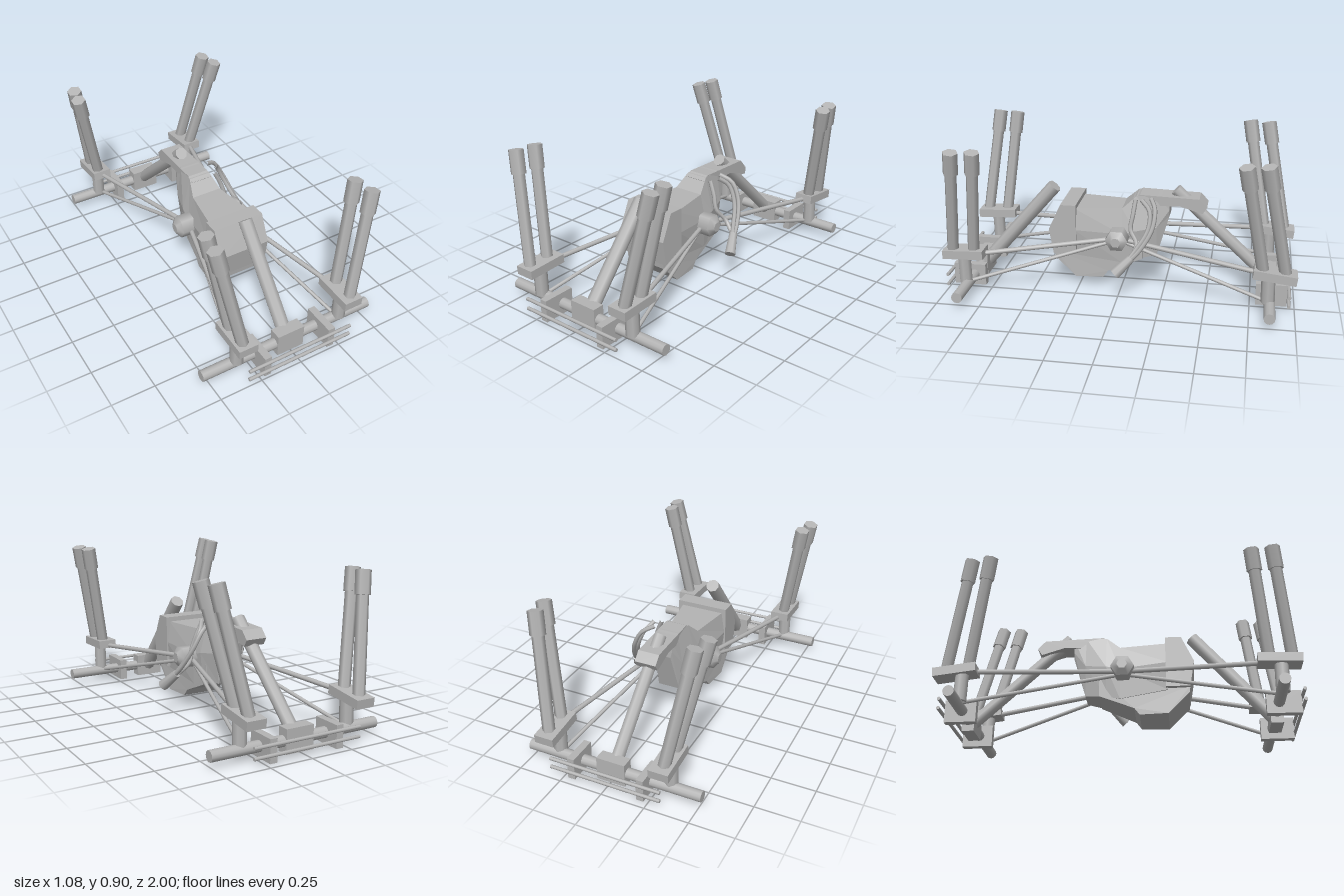
import * as THREE from 'three';

const V = (x, y, z) => new THREE.Vector3(x, y, z);

export function createModel() {
  const model = new THREE.Group();
  const grey = new THREE.MeshStandardMaterial({ color: 0xb4b4b4 });
  grey.name = 'grey';

  const add = (name, geometry) => {
    const mesh = new THREE.Mesh(geometry, grey);
    mesh.name = name;
    model.add(mesh);
    return mesh;
  };
  const box = (name, w, h, d, x, y, z, tilt = 0) => {
    const m = add(name, new THREE.BoxGeometry(w, h, d));
    m.position.set(x, y, z);
    m.rotation.x = tilt;
    return m;
  };
  // Cylinder running from a to b
  const rod = (name, a, b, r, sides = 8, r2 = r) => {
    const m = add(name, new THREE.CylinderGeometry(r2, r, a.distanceTo(b), sides));
    m.position.copy(a).lerp(b, 0.5);
    m.quaternion.setFromUnitVectors(V(0, 1, 0), b.clone().sub(a).normalize());
    return m;
  };
  // Side outline of [z, y] points extruded across x; width can taper with z
  const slab = (name, outline, half, taper = () => 1) => {
    const shape = new THREE.Shape(outline.map(([z, y]) => new THREE.Vector2(z, y)));
    const g = new THREE.ExtrudeGeometry(shape, { depth: half * 2, bevelEnabled: false });
    g.translate(0, 0, -half).rotateY(-Math.PI / 2);
    const p = g.attributes.position;
    for (let i = 0; i < p.count; i++) p.setX(i, p.getX(i) * taper(p.getZ(i)));
    g.computeVertexNormals();
    return add(name, g);
  };

  // Tapering body: [z, bottom y, bottom half, mid y, mid half, top y, top half]
  const stations = [
    [0.27, 0.2, 0.132, 0.36, 0.15, 0.485, 0.13],
    [0.0, 0.16, 0.115, 0.34, 0.122, 0.487, 0.09],
    [-0.08, 0.18, 0.1, 0.36, 0.115, 0.56, 0.066],
    [-0.2, 0.2, 0.065, 0.38, 0.085, 0.565, 0.058],
    [-0.27, 0.44, 0.045, 0.48, 0.055, 0.56, 0.05],
  ];
  const rings = stations.map(([z, by, bw, my, mw, ty, tw]) => [
    V(bw, by, z), V(mw, my, z), V(tw, ty, z), V(-tw, ty, z), V(-mw, my, z), V(-bw, by, z),
  ]);
  const tris = [];
  for (let s = 0; s < rings.length - 1; s++) {
    for (let j = 0; j < 6; j++) {
      const k = (j + 1) % 6;
      const [a, b, c, d] = [rings[s][j], rings[s][k], rings[s + 1][j], rings[s + 1][k]];
      tris.push(a, c, b, b, c, d);
    }
  }
  const last = rings[rings.length - 1];
  for (let j = 1; j < 5; j++) {
    tris.push(rings[0][0], rings[0][j], rings[0][j + 1]);
    tris.push(last[0], last[j + 1], last[j]);
  }
  const bodyGeometry = new THREE.BufferGeometry().setFromPoints(tris);
  bodyGeometry.computeVertexNormals();
  add('body', bodyGeometry);

  // Front block, belly and tail
  slab('frontBlock', [[0.26, 0.21], [0.395, 0.21], [0.42, 0.36], [0.35, 0.512], [0.26, 0.512]], 0.155);
  slab('belly', [[-0.12, 0.3], [-0.12, 0.185], [0.08, 0.1], [0.11, 0.06], [0.27, 0.06], [0.39, 0.18],
    [0.395, 0.22], [0.25, 0.3]], 0.132, (z) => 0.76 + 0.24 * Math.min(1, (z + 0.12) / 0.38));
  slab('tail', [[-0.08, 0.5], [-0.33, 0.51], [-0.46, 0.47], [-0.485, 0.51], [-0.44, 0.557],
    [-0.1, 0.567], [-0.06, 0.545]], 0.063);

  // Drive shafts leaning from the axles up to the body
  rod('frontShaft', V(0, 0.07, 0.85), V(0, 0.573, 0.415), 0.041);
  rod('rearShaft', V(0, 0.07, -0.86), V(0, 0.59, -0.3), 0.037);

  // Axle assemblies, front and rear
  const ends = [
    { name: 'front', z: 0.863, half: 0.54, plateZ: 0.89, plateD: 0.19, tieZ: 0.99, tieY: [0.104, 0.045],
      bracketZ: 0.87, bracketY: 0.262, tilt: 0.04,
      shocks: [[0.94, 0.866, 0.462], [0.818, 0.752, 0.445]] },
    { name: 'rear', z: -0.86, half: 0.513, plateZ: -0.87, plateD: 0.175, tieZ: -0.966, tieY: [0.107, 0.053],
      bracketZ: -0.88, bracketY: 0.25, tilt: -0.12,
      shocks: [[-0.815, -0.7, 0.465], [-0.935, -0.81, 0.443]] },
  ];
  for (const e of ends) {
    rod(e.name + 'Axle', V(-e.half, 0.07, e.z), V(e.half, 0.07, e.z), 0.031, 12);
    box(e.name + 'Differential', 0.167, 0.135, 0.07, 0, 0.073, e.z);
    for (const y of e.tieY) rod(e.name + 'TieRod', V(-0.325, y, e.tieZ), V(0.325, y, e.tieZ), 0.01);

    for (const s of [-1, 1]) {
      box(e.name + 'AxlePlate', 0.042, 0.128, e.plateD, s * 0.204, 0.07, e.plateZ);
      box(e.name + 'Bracket', 0.112, 0.05, 0.236, s * 0.332, e.bracketY, e.bracketZ, e.tilt);
      rod(e.name + 'Post', V(s * 0.333, 0.082, e.z + 0.012), V(s * 0.333, 0.25, e.z + 0.015), 0.038);

      // Shock absorbers with thicker caps
      for (const [z0, z1, x1] of e.shocks) {
        const foot = V(s * 0.337, 0.26, z0);
        const top = V(s * x1, 0.893, z1);
        rod(e.name + 'Shock', foot, top, 0.034, 6);
        rod(e.name + 'ShockCap', foot.clone().lerp(top, 0.8), top, 0.043, 6);
      }

      // Links from the hub out to the bracket and the axle
      const dir = Math.sign(e.z);
      rod(e.name + 'UpperLink', V(s * 0.14, 0.315, 0.015 + dir * 0.04), V(s * 0.325, 0.255, dir * 0.78), 0.014);
      rod(e.name + 'LowerLink', V(s * 0.13, 0.295, 0.015 + dir * 0.04), V(s * 0.325, 0.075, dir * 0.86), 0.011);
    }
  }

  // Six-sided hubs on both flanks
  for (const s of [-1, 1]) {
    rod('hub', V(s * 0.08, 0.326, 0.018), V(s * 0.198, 0.326, 0.018), 0.066, 6);
    rod('hubTip', V(s * 0.198, 0.326, 0.018), V(s * 0.225, 0.326, 0.018), 0.066, 6, 0.03);
  }

  // Hoses curling out of the left flank to an end sleeve
  const hoses = [
    [V(0.1, 0.56, -0.17), V(0.17, 0.52, -0.2), V(0.225, 0.42, -0.19), V(0.265, 0.3, -0.12), V(0.29, 0.21, -0.03)],
    [V(0.13, 0.56, -0.12), V(0.17, 0.51, -0.17), V(0.215, 0.41, -0.165), V(0.255, 0.3, -0.1), V(0.29, 0.21, -0.03)],
    [V(0.1, 0.55, -0.08), V(0.135, 0.47, -0.07), V(0.16, 0.39, -0.06), V(0.2, 0.32, -0.1), V(0.26, 0.26, -0.08)],
  ];
  for (const points of hoses) {
    add('hose', new THREE.TubeGeometry(new THREE.CatmullRomCurve3(points), 16, 0.013, 6));
  }
  rod('hoseSleeve', V(0.27, 0.26, -0.08), V(0.312, 0.175, 0.008), 0.024, 8, 0.032);

  return model;
}
